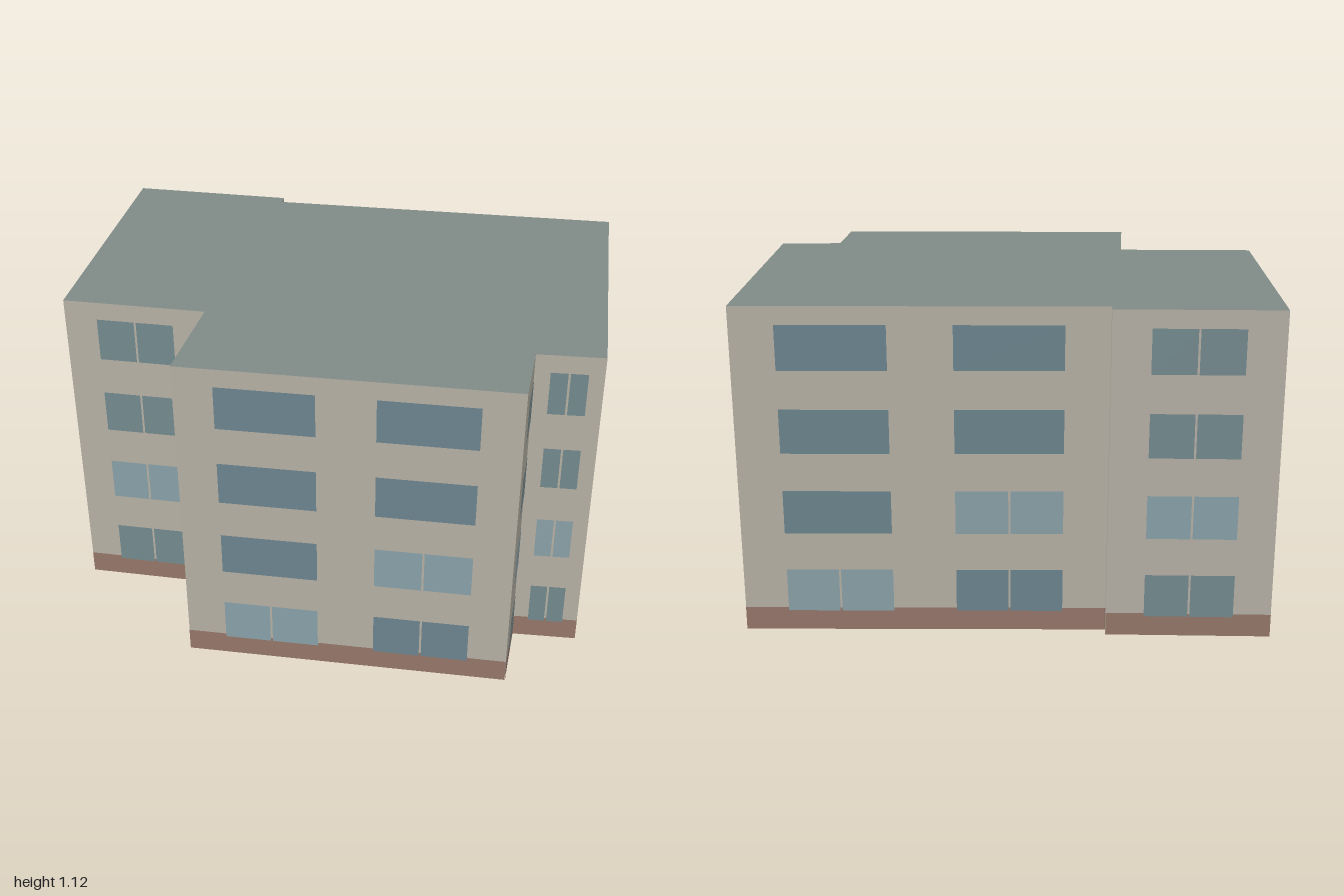
import * as THREE from 'three';

const HEIGHT = 1.12, PLINTH = 0.08, FLOORS = 4, STOREY = 0.28;
const SILL = 0.07, WINDOW_H = 0.15, MULLION = 0.007;

// Footprint corners as [x, z], walked left to right as seen from outside
const CORNERS = [
  [-0.685, 0.635], [-0.237, 0.475], [-0.135, 0.815], [0.87, 0.437], [0.8, 0.21],
  [1, 0.127], [0.662, -0.815], [-0.47, -0.388], [-0.482, -0.422], [-1, -0.24],
];

const material = (color, side = THREE.FrontSide) =>
  new THREE.MeshStandardMaterial({ color, side });

export function createModel() {
  const model = new THREE.Group();
  model.name = 'apartmentBlock';

  const wallMat = material(0xb8b3a7, THREE.DoubleSide);
  const roofMat = material(0x7f8a87, THREE.DoubleSide);
  const plinthMat = material(0x97786b);
  const glassMat = material(0x6d8690);
  const tintedMat = material(0x758c90);
  const brightMat = material(0x8ba3ab);

  // Upright rectangle in a facade's own plane, from its lower left corner
  function panel(parent, name, x, y, w, h, offset, mat) {
    const mesh = new THREE.Mesh(new THREE.PlaneGeometry(w, h), mat);
    mesh.name = name;
    mesh.position.set(x + w / 2, y + h / 2, offset);
    parent.add(mesh);
  }

  // Window as one pane, or as two panes parted by a narrow mullion
  function addWindow(parent, x, y, w, split, mat) {
    const window = new THREE.Group();
    window.name = 'window';
    const count = split ? 2 : 1;
    const paneW = split ? (w - MULLION) / 2 : w;
    for (let i = 0; i < count; i++) {
      panel(window, 'pane', x + i * (paneW + MULLION), y, paneW, WINDOW_H, 0.004, mat);
    }
    parent.add(window);
  }

  CORNERS.forEach(([x, z], i) => {
    const [nx, nz] = CORNERS[(i + 1) % CORNERS.length];
    const length = Math.hypot(nx - x, nz - z);

    // Facade with its origin at the left foot of the wall
    const facade = new THREE.Group();
    facade.name = 'facade';
    facade.position.set(x, 0, z);
    facade.rotation.y = Math.atan2(z - nz, nx - x);
    model.add(facade);

    panel(facade, 'wall', 0, 0, length, HEIGHT, 0, wallMat);
    panel(facade, 'plinth', 0, 0, length, PLINTH, 0.002, plinthMat);
    if (length < 0.1) return;

    for (let floor = 0; floor < FLOORS; floor++) {
      const y = SILL + floor * STOREY;
      if (length < 0.7) {
        // Short walls carry one split window per storey
        const mat = floor === 0 ? tintedMat : floor === 1 ? brightMat : tintedMat;
        addWindow(facade, length * 0.23, y, length * 0.54, true, mat);
      } else {
        // Long walls carry two wide windows per storey
        addWindow(facade, length * 0.12, y, length * 0.293, floor === 0,
          floor === 0 ? brightMat : glassMat);
        addWindow(facade, length * 0.587, y, length * 0.293, floor < 2,
          floor === 1 ? brightMat : glassMat);
      }
    }
  });

  // Flat roof over the footprint
  const outline = new THREE.Shape(CORNERS.map(([x, z]) => new THREE.Vector2(x, -z)));
  const roof = new THREE.Mesh(new THREE.ShapeGeometry(outline), roofMat);
  roof.name = 'roof';
  roof.rotation.x = -Math.PI / 2;
  roof.position.y = HEIGHT;
  model.add(roof);

  return model;
}
